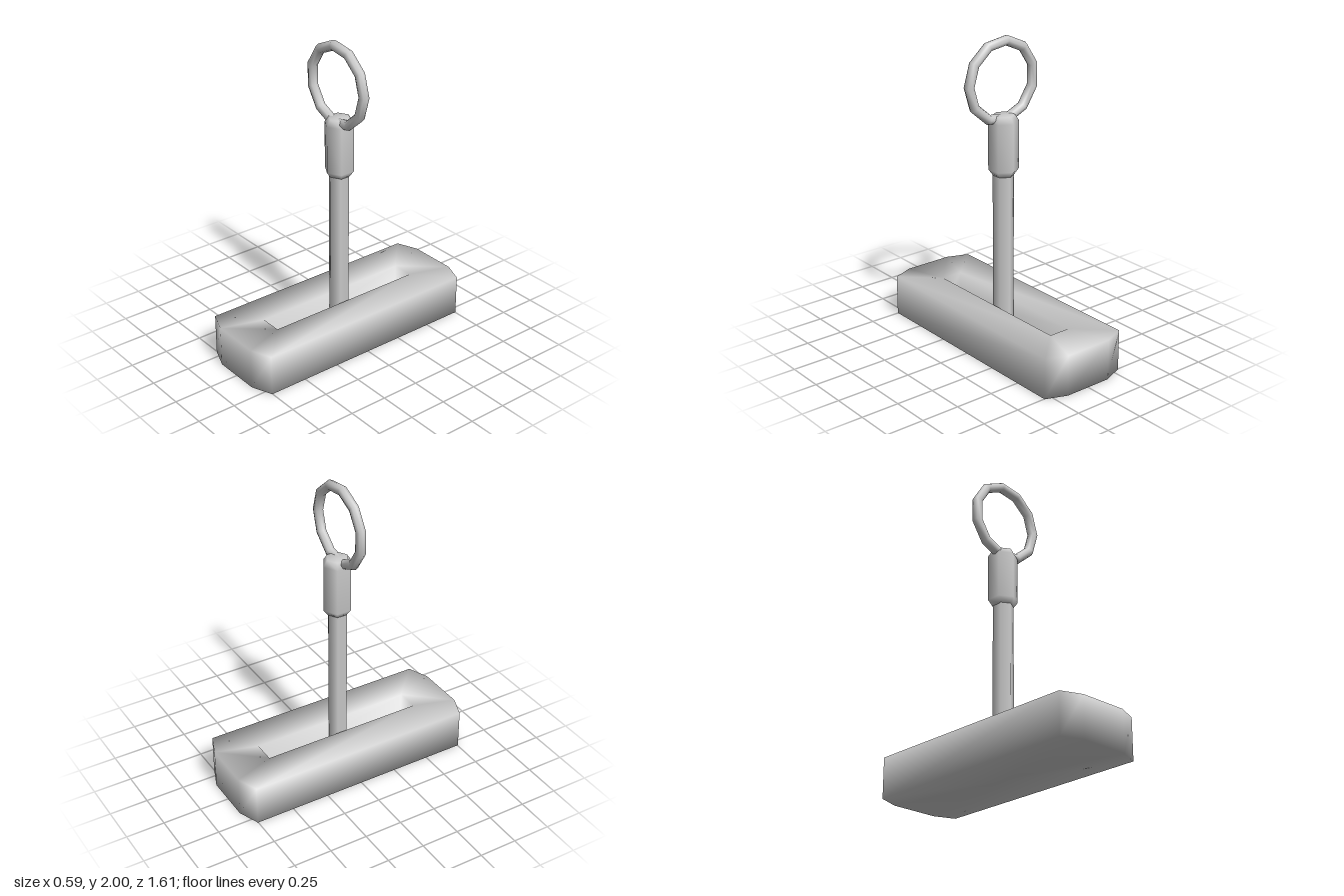
import * as THREE from 'three';
import { mergeVertices } from 'three/addons/utils/BufferGeometryUtils.js';

const material = new THREE.MeshStandardMaterial({ color: 0xcccccc });

function addPart(group, name, geometry, x = 0, y = 0, z = 0) {
  const mesh = new THREE.Mesh(geometry, material);
  mesh.name = name;
  mesh.position.set(x, y, z);
  group.add(mesh);
}

// Eight points mirrored about both axes: (x1, z1) on the sides, (x2, z2) at the ends
function ring(y, x1, z1, x2, z2) {
  return [[x1, z1], [x2, z2], [-x2, z2], [-x1, z1], [-x1, -z1], [-x2, -z2], [x2, -z2], [x1, -z1]]
    .map(([x, z]) => [x, y, z]);
}

// Skin a stack of rings and close the first and last with a fan about the centre
function loft(rings) {
  const positions = [];
  const index = [];
  const n = rings[0].length;
  rings.forEach((r) => r.forEach((p) => positions.push(...p)));
  const first = rings.length * n;
  const last = first + 1;
  positions.push(0, rings[0][0][1], 0, 0, rings[rings.length - 1][0][1], 0);
  for (let i = 0; i < n; i++) {
    const j = (i + 1) % n;
    for (let k = 0; k < rings.length - 1; k++) {
      const a = k * n + i, b = k * n + j;
      index.push(a, a + n, b, b, a + n, b + n);
    }
    const top = (rings.length - 1) * n;
    index.push(first, i, j, last, top + j, top + i);
  }
  const geometry = new THREE.BufferGeometry();
  geometry.setAttribute('position', new THREE.Float32BufferAttribute(positions, 3));
  geometry.setIndex(index);
  const merged = mergeVertices(geometry);
  merged.computeVertexNormals();
  return merged;
}

export function createModel() {
  const group = new THREE.Group();

  // Chamfered block with a long rectangular slot sunk into its top
  addPart(group, 'slottedBase', loft([
    ring(0, 0.297, 0.753, 0.16, 0.807),
    ring(0.265, 0.297, 0.753, 0.16, 0.807),
    ring(0.265, 0.071, 0.54, 0.071, 0.54),
    ring(0.08, 0.071, 0.54, 0.071, 0.54),
  ]));

  // Six-sided rod rising out of the slot
  addPart(group, 'rod', new THREE.CylinderGeometry(0.066, 0.066, 1.08, 6), 0, 0.62, 0);

  // Thicker six-sided head with bevelled ends
  const profile = [[0, 1.13], [0.066, 1.13], [0.095, 1.17], [0.095, 1.475], [0.07, 1.515], [0, 1.515]]
    .map(([r, y]) => new THREE.Vector2(r, y));
  addPart(group, 'rodHead', new THREE.LatheGeometry(profile, 6), 0, 0, -0.003);

  // Pull ring through the top of the head
  addPart(group, 'pullRing', new THREE.TorusGeometry(0.247, 0.032, 8, 11), 0.002, 1.724, 0.013);

  return group;
}
